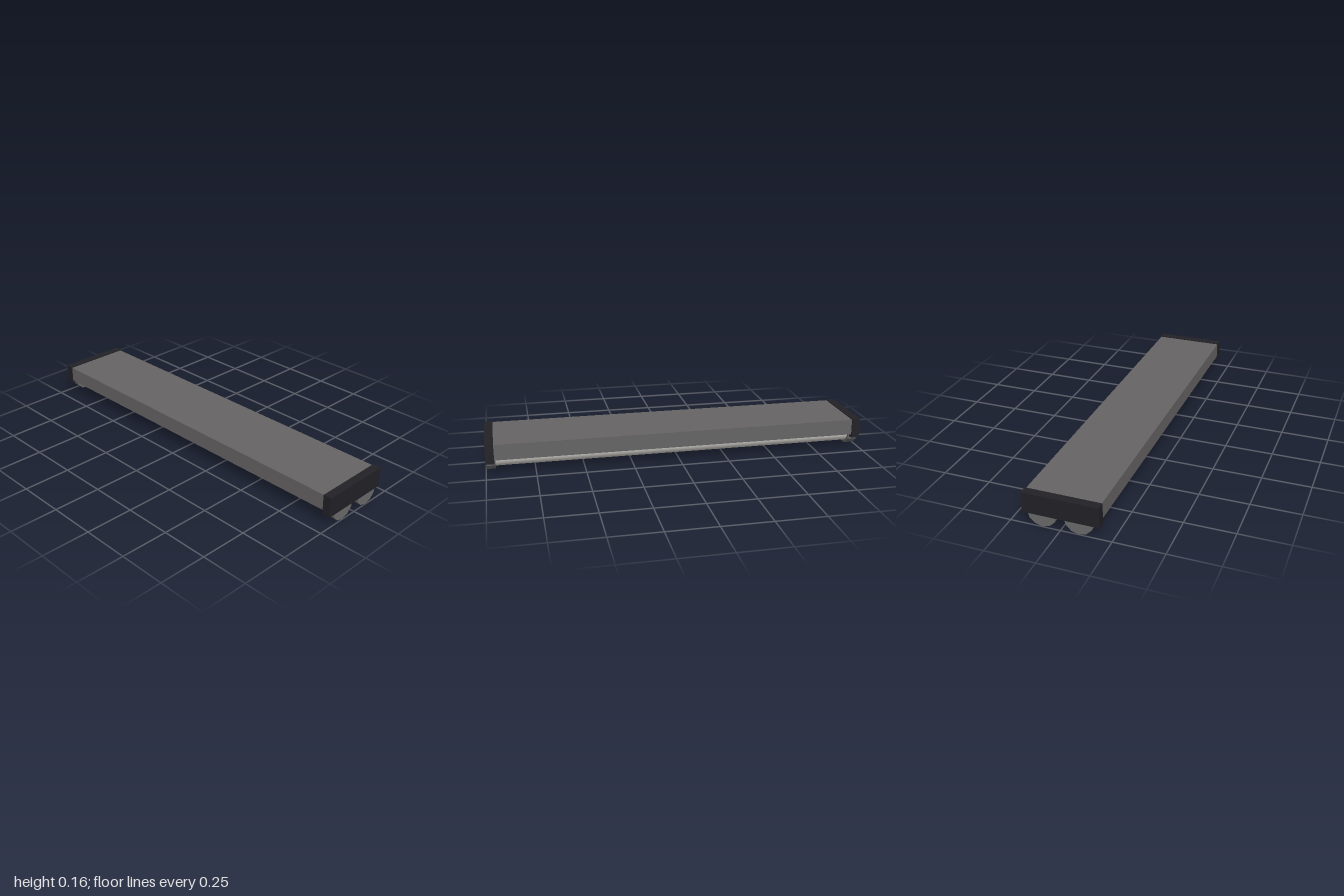
import * as THREE from 'three';

const mat = (color, flatShading = false) => new THREE.MeshStandardMaterial({ color, flatShading });

export function createModel() {
  const group = new THREE.Group();
  const housingMat = mat(0x666464, true);
  const capMat = mat(0x222126, true);
  const socketMat = mat(0x6a6a6a, true);
  const tubeMat = mat(0xd2d0ca);

  const add = (name, geometry, material, x, y, z) => {
    const mesh = new THREE.Mesh(geometry, material);
    mesh.name = name;
    mesh.position.set(x, y, z);
    group.add(mesh);
    return mesh;
  };
  // Cylinder lying along x, with a vertex line at its lowest point
  const rod = (radius, length, sides) =>
    new THREE.CylinderGeometry(radius, radius, length, sides).rotateX(Math.PI).rotateZ(Math.PI / 2);

  // Long housing that carries the lamps
  add('housing', new THREE.BoxGeometry(1.92, 0.083, 0.37), housingMat, 0, 0.1165, 0);

  // Dark end caps, slightly larger than the housing
  for (const side of [-1, 1]) {
    add(side > 0 ? 'leftEndCap' : 'rightEndCap',
      new THREE.BoxGeometry(0.044, 0.104, 0.38), capMat, side * 0.978, 0.11, 0);
  }

  // Two lamp tubes, each held by a twelve-sided socket at either end
  for (const z of [-0.09, 0.09]) {
    const place = z > 0 ? 'front' : 'back';
    add(place + 'LampTube', rod(0.057, 1.92, 32), tubeMat, 0, 0.073, z);
    for (const side of [-1, 1]) {
      add(place + (side > 0 ? 'LeftSocket' : 'RightSocket'),
        rod(0.073, 0.048, 12), socketMat, side * 0.974, 0.073, z);
    }
  }
  return group;
}
